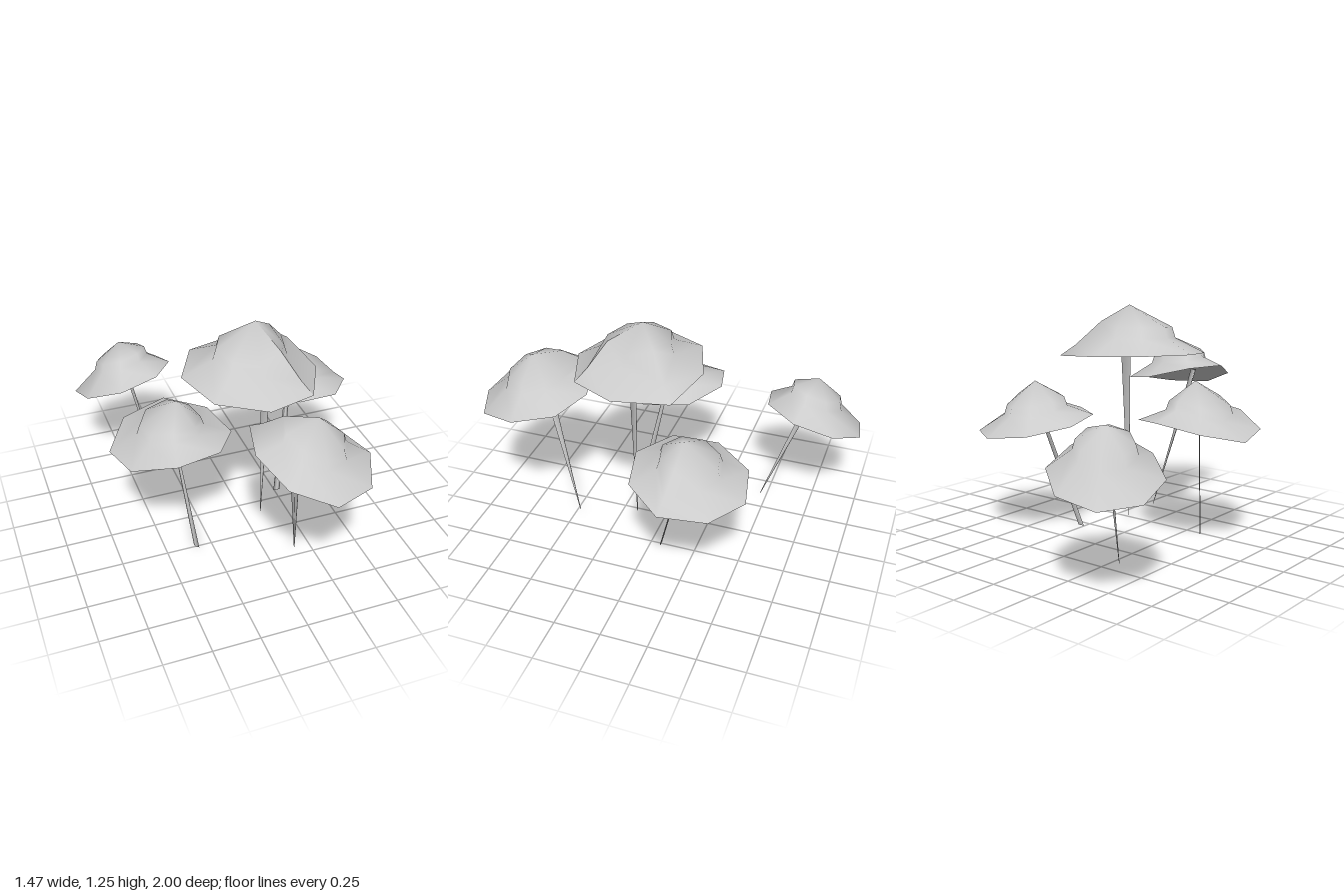
import * as THREE from 'three';

const SIDES = 8;
const material = new THREE.MeshStandardMaterial({ color: 0xcccccc, side: THREE.DoubleSide });
const vec = p => new THREE.Vector3(...p);

function makeMesh(name, points, index) {
  const geometry = new THREE.BufferGeometry().setFromPoints(points);
  geometry.setIndex(index);
  geometry.computeVertexNormals();
  const mesh = new THREE.Mesh(geometry, material);
  mesh.name = name;
  return mesh;
}

// Tilted octagonal rim, clockwise from above; the first spiked corner reaches further out
function makeRim({ centre, radius, turn, tilt, warp = 0, spikes = [], spikeReach = 1 }) {
  return Array.from({ length: SIDES }, (_, i) => {
    const angle = THREE.MathUtils.degToRad(turn + i * 360 / SIDES);
    const r = radius * (spikes[0] === i ? spikeReach : 1);
    const x = r * Math.sin(angle), z = -r * Math.cos(angle);
    const y = tilt[0] * x + tilt[1] * z + warp * Math.cos(2 * angle);
    return vec(centre).add(new THREE.Vector3(x, y, z));
  });
}

// Crown, steep shoulder and flared skirt, ring by ring from the apex
function makeCap({ centre, apex, dome, spikes = [], seam = false }, rim) {
  const columns = seam ? SIDES + 1 : SIDES;
  const height = apex[1] - centre[1];
  // Each pair is the value for a plain corner and for a spiked one
  const ring = (reach, lift) => Array.from({ length: columns }, (_, i) => {
    const k = spikes.includes(i % SIDES) ? 1 : 0;
    const p = vec(centre).lerp(rim[i % SIDES], reach[k]);
    p.y += height * lift[k];
    return p;
  });
  const points = [
    vec(apex),
    ...ring([0.5, 0.48], [dome, 0.68]),
    ...ring([0.55, 0.8], [dome - 0.22, 0.22]),
    ...ring([1, 1], [0, 0])
  ];
  const index = [];
  for (let i = 0; i < SIDES; i++) {
    const j = (i + 1) % columns;
    index.push(0, 1 + j, 1 + i);
    for (let r = 0; r < 2; r++) {
      const a = 1 + r * columns, b = a + columns;
      index.push(a + i, a + j, b + i, a + j, b + j, b + i);
    }
  }
  return makeMesh('cap', points, index);
}

// Shallow hollow under the cap
function makeUnderside({ centre, apex }, rim) {
  const hollow = vec(centre);
  hollow.y += (apex[1] - centre[1]) * 0.35;
  const index = rim.flatMap((_, i) => [0, 1 + i, 1 + (i + 1) % SIDES]);
  return makeMesh('capUnderside', [hollow, ...rim], index);
}

// Thin three-sided stem; facing is the direction of its width, widths and ridges are at foot and top
function makeStem({ foot, top, facing, widths, ridges }) {
  const angle = THREE.MathUtils.degToRad(facing);
  const side = new THREE.Vector3(Math.cos(angle), 0, Math.sin(angle));
  const out = new THREE.Vector3(-side.z, 0, side.x);
  const points = [foot, top].flatMap((p, i) => [
    vec(p).addScaledVector(side, -widths[i] / 2),
    vec(p).addScaledVector(side, widths[i] / 2),
    vec(p).addScaledVector(out, ridges[i])
  ]);
  const index = [];
  for (let i = 0; i < 3; i++) {
    const j = (i + 1) % 3;
    index.push(i, i + 3, j, j, i + 3, j + 3);
  }
  return makeMesh('stem', points, index);
}

function makeMushroom(name, spec) {
  const mushroom = new THREE.Group();
  mushroom.name = name;
  const rim = makeRim(spec);
  mushroom.add(makeCap(spec, rim), makeUnderside(spec, rim), makeStem(spec));
  return mushroom;
}

export function createModel() {
  const model = new THREE.Group();
  model.name = 'mushroomCluster';
  model.add(
    makeMushroom('tallMushroom', {
      centre: [0.01, 0.98, 0.145], apex: [0.05, 1.25, 0.11], dome: 0.54,
      radius: 0.36, turn: 139, tilt: [-0.07, -0.06],
      spikes: [6, 0], spikeReach: 1.2, seam: true,
      foot: [0.08, 0.05, 0.145], top: [0.12, 1.04, 0.145], facing: 90,
      widths: [0.005, 0.045], ridges: [0.002, 0.05]
    }),
    makeMushroom('frontMushroom', {
      centre: [0.13, 0.785, 0.7], apex: [0.15, 1.01, 0.69], dome: 0.58,
      radius: 0.3, turn: -44, tilt: [-0.2, -0.17], warp: -0.025,
      spikes: [0], spikeReach: 1.15,
      foot: [0.15, 0.03, 0.47], top: [0.03, 0.83, 0.7], facing: 30,
      widths: [0.004, 0.055], ridges: [0.002, 0.02]
    }),
    makeMushroom('leftMushroom', {
      centre: [0.405, 0.615, -0.265], apex: [0.43, 0.84, -0.24], dome: 0.54,
      radius: 0.315, turn: 11, tilt: [-0.1, 0.13],
      spikes: [2], spikeReach: 1.05,
      foot: [0.262, 0.005, -0.06], top: [0.4, 0.68, -0.24], facing: 0,
      widths: [0.04, 0.03], ridges: [0.005, 0.005]
    }),
    makeMushroom('rightMushroom', {
      centre: [-0.415, 0.66, 0.11], apex: [-0.38, 0.875, 0.12], dome: 0.5,
      radius: 0.32, turn: 10, tilt: [0.08, 0], warp: 0.035,
      foot: [-0.335, 0, 0.25], top: [-0.41, 0.73, 0.11], facing: 55,
      widths: [0.036, 0.018], ridges: [0.005, 0.005]
    }),
    makeMushroom('backMushroom', {
      centre: [-0.465, 0.56, -0.725], apex: [-0.47, 0.79, -0.73], dome: 0.66,
      radius: 0.28, turn: 14, tilt: [0.24, 0.27],
      foot: [-0.34, 0.03, -0.47], top: [-0.455, 0.66, -0.7], facing: 65,
      widths: [0.005, 0.044], ridges: [0.002, 0.015]
    })
  );
  return model;
}
